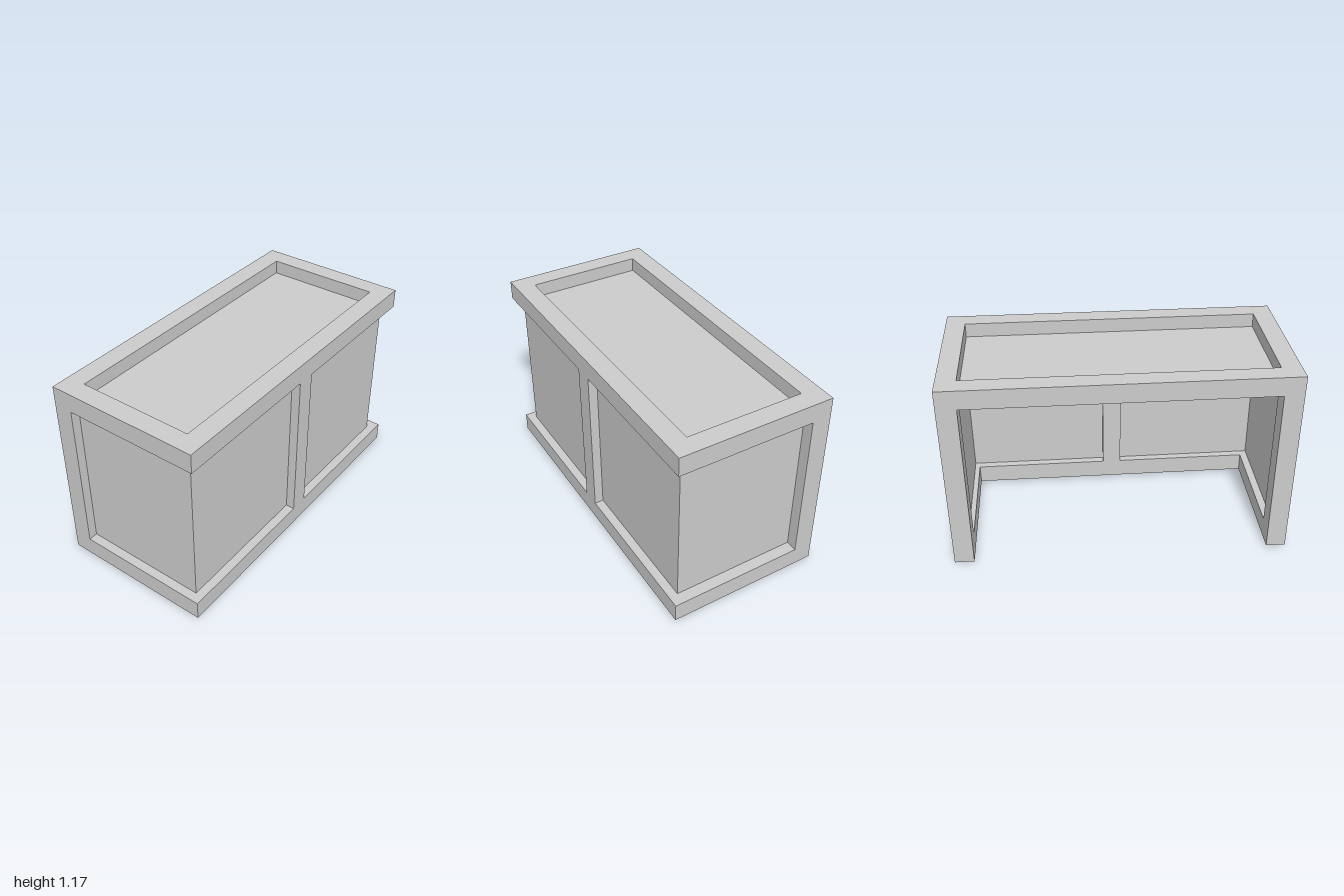
import * as THREE from 'three';

const W = 1, D = 0.467;           // half width and half depth
const BAR = 0.116;                // frame bar thickness
const FOOT = 0.007, TOP = 1.175;  // frame underside and top
const SHEET = 0.015;              // panel thickness

export function createModel() {
  const group = new THREE.Group();
  group.name = 'desk';
  const material = new THREE.MeshStandardMaterial({ color: 0xcccccc, flatShading: true });

  const add = (name, geometry) => {
    const mesh = new THREE.Mesh(geometry, material);
    mesh.name = name;
    group.add(mesh);
    return mesh;
  };

  // box given by its min and max corners
  const box = (name, [x0, y0, z0], [x1, y1, z1]) =>
    add(name, new THREE.BoxGeometry(x1 - x0, y1 - y0, z1 - z0))
      .position.set((x0 + x1) / 2, (y0 + y1) / 2, (z0 + z1) / 2);

  // flat ring drawn in x/z, hanging one bar thickness below yTop
  const slab = (name, shape, yTop) => {
    const geometry = new THREE.ExtrudeGeometry(shape, { depth: BAR, bevelEnabled: false });
    geometry.rotateX(Math.PI / 2);
    add(name, geometry).position.y = yTop;
  };
  const points = (list) => list.map(([x, z]) => new THREE.Vector2(x, z));

  const iw = W - BAR, id = D - BAR;

  // closed rectangular frame around the top
  const ring = new THREE.Shape(points([[-W, -D], [W, -D], [W, D], [-W, D]]));
  ring.holes.push(new THREE.Path(points([[-iw, -id], [-iw, id], [iw, id], [iw, -id]])));
  slab('topFrame', ring, TOP);

  // base rails on the front and both sides, open at the back
  slab('baseRails', new THREE.Shape(points([
    [-W, -D], [-iw, -D], [-iw, id], [iw, id], [iw, -D], [W, -D], [W, D], [-W, D],
  ])), FOOT + BAR);

  // rear posts and the front centre post
  const y0 = FOOT + BAR, y1 = TOP - BAR;
  for (const [name, side] of [['leftRearPost', 1], ['rightRearPost', -1]]) {
    const x = side * (W - BAR / 2);
    box(name, [x - BAR / 2, y0, -D], [x + BAR / 2, y1, -id]);
  }
  box('frontCentrePost', [-0.06, y0, id], [0.055, y1, D]);

  // thin panels set into the middle of the bars, just reaching the ground
  const right = -0.945, left = 0.93, front = 0.413, back = -0.41, panelTop = 1.09;
  box('frontPanel', [right, 0, front - SHEET], [left, panelTop, front]);
  box('rightPanel', [right, 0, back], [right + SHEET, panelTop, front - SHEET]);
  box('leftPanel', [left - SHEET, 0, back], [left, panelTop, front - SHEET]);
  box('topPanel', [right, panelTop - SHEET, back], [left, panelTop, front]);

  return group;
}
